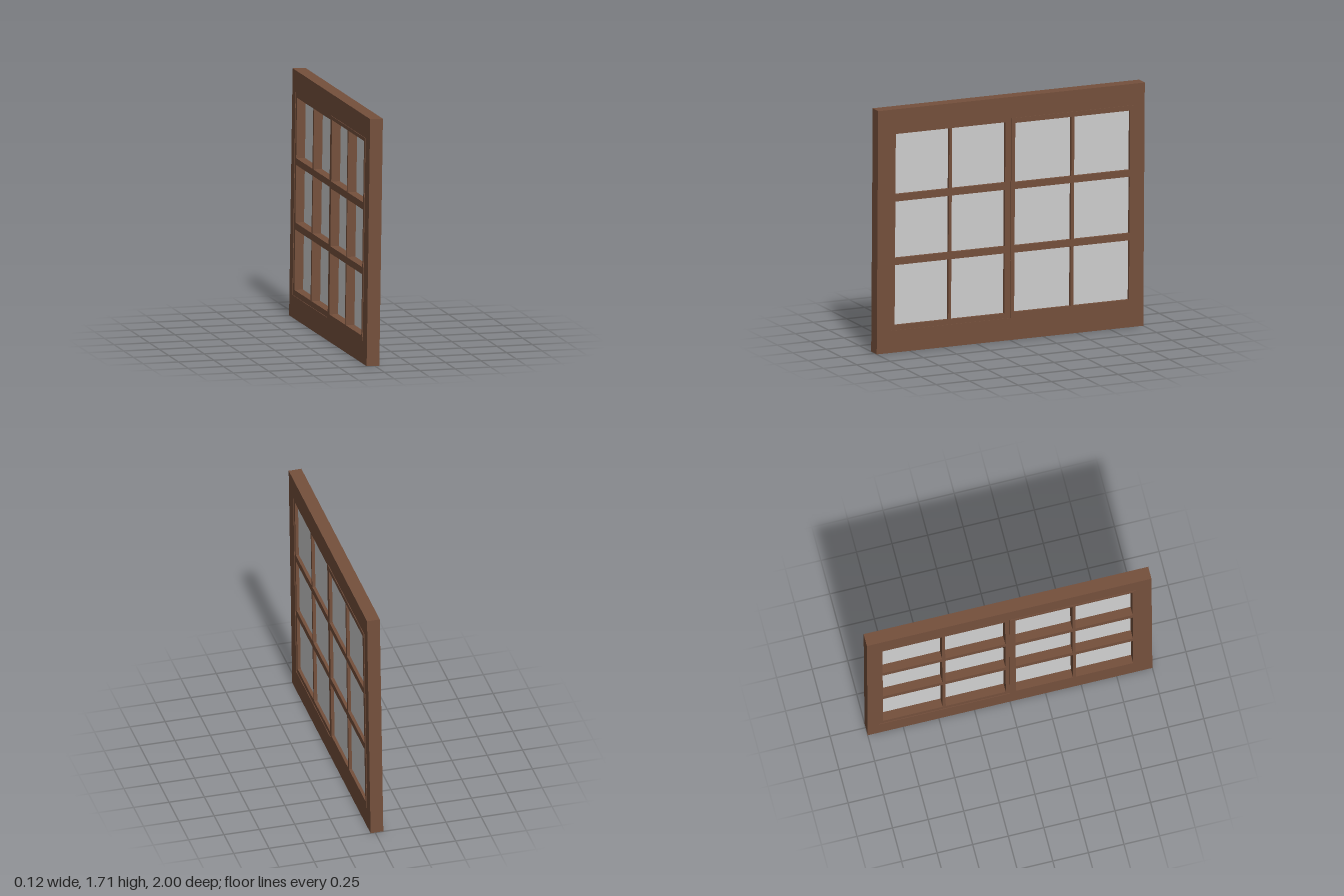
import * as THREE from 'three';

const wood = new THREE.MeshStandardMaterial({ color: 0x75503c });
wood.name = 'brown wood';
const pane = new THREE.MeshStandardMaterial({ color: 0xd0d0d0 });
pane.name = 'pale glass';

const DEPTH = 0.09;

// Rectangle as [u0, y0, u1, y1], where u runs along -z.
function trace(path, [u0, y0, u1, y1]) {
  path.moveTo(u0, y0);
  path.lineTo(u1, y0);
  path.lineTo(u1, y1);
  path.lineTo(u0, y1);
  path.closePath();
  return path;
}

// Wooden panel with rectangular openings, its depth centred on the given x.
function panel(name, outer, holes, x = 0) {
  const shape = trace(new THREE.Shape(), outer);
  for (const h of holes) shape.holes.push(trace(new THREE.Path(), h));
  const geo = new THREE.ExtrudeGeometry(shape, { depth: DEPTH, bevelEnabled: false });
  geo.translate(0, 0, -DEPTH / 2);
  geo.rotateY(Math.PI / 2);
  const mesh = new THREE.Mesh(geo, wood);
  mesh.name = name;
  mesh.position.x = x;
  return mesh;
}

// Sash: wooden grid with two columns and three rows of glass.
function sash(name, outer, columns, rows, x) {
  const group = new THREE.Group();
  group.name = name;
  const holes = [];
  for (const [u0, u1] of columns) {
    for (const [y0, y1] of rows) holes.push([u0, y0, u1, y1]);
  }
  group.add(panel(name + 'Bars', outer, holes, x));
  for (const [u0, y0, u1, y1] of holes) {
    const glass = new THREE.Mesh(new THREE.BoxGeometry(0.006, y1 - y0, u1 - u0), pane);
    glass.name = 'glassPane';
    glass.position.set(x + 0.02, (y0 + y1) / 2, -(u0 + u1) / 2);
    group.add(glass);
  }
  return group;
}

export function createModel() {
  const model = new THREE.Group();
  model.name = 'window';

  const leaning = new THREE.Group();
  leaning.name = 'leaningWindow';
  model.add(leaning);

  // Outer frame
  leaning.add(panel('outerFrame', [-1, 0, 1, 1.71], [[-0.89, 0.155, 0.92, 1.56]]));

  // Two sashes, set slightly out of line with the frame
  leaning.add(sash('frontSash', [-0.89, 0.155, 0, 1.56],
    [[-0.865, -0.463], [-0.442, -0.042]],
    [[0.19, 0.613], [0.662, 1.06], [1.11, 1.535]], -0.004));
  leaning.add(sash('backSash', [0, 0.155, 0.92, 1.56],
    [[0.028, 0.45], [0.472, 0.89]],
    [[0.195, 0.613], [0.662, 1.06], [1.107, 1.525]], 0.004));

  // Whole window leans a little towards +x
  leaning.rotation.z = -0.0146;
  leaning.position.set(-0.0125, 0.0007, 0);
  return model;
}
